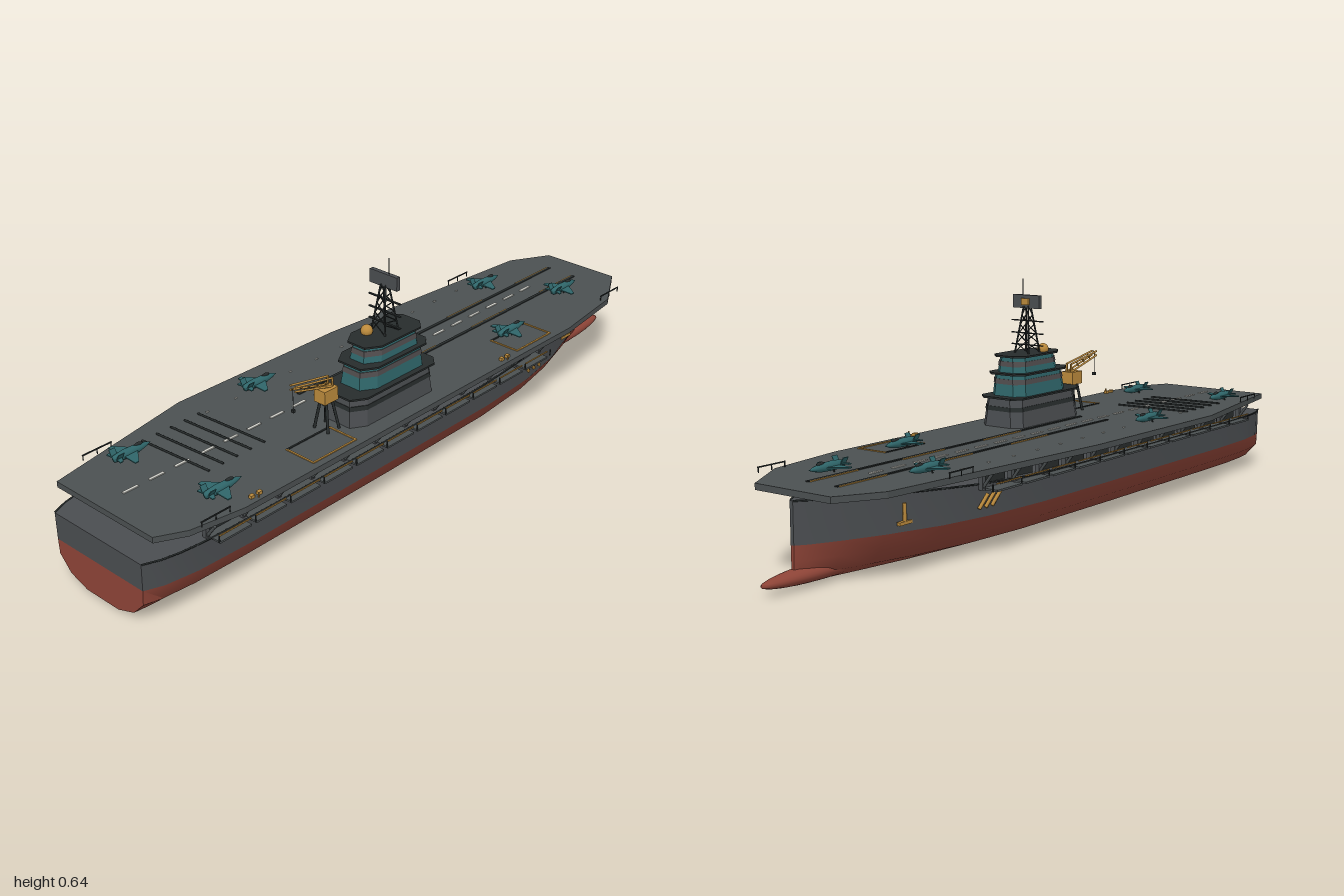
import * as THREE from 'three';
import { toCreasedNormals } from 'three/addons/utils/BufferGeometryUtils.js';

const V = (x, y, z) => new THREE.Vector3(x, y, z);

function mat(name, color) {
  const m = new THREE.MeshStandardMaterial({ color });
  m.name = name;
  return m;
}

// Skin a series of closed rings and cap both ends
function loft(rings, crease = 0.6) {
  const n = rings[0].length, pos = [], idx = [];
  rings.forEach((r) => r.forEach((p) => pos.push(p.x, p.y, p.z)));
  for (let i = 0; i < rings.length - 1; i++) {
    for (let j = 0; j < n; j++) {
      const a = i * n + j, b = i * n + ((j + 1) % n);
      idx.push(a, b, b + n, a, b + n, a + n);
    }
  }
  const last = (rings.length - 1) * n;
  for (let j = 1; j < n - 1; j++) {
    idx.push(0, j + 1, j, last, last + j, last + j + 1);
  }
  const g = new THREE.BufferGeometry();
  g.setAttribute('position', new THREE.Float32BufferAttribute(pos, 3));
  g.setIndex(idx);
  return toCreasedNormals(g, crease);
}

export function createModel() {
  const ship = new THREE.Group();
  ship.name = 'aircraftCarrier';
  const deckGrey = mat('deckGrey', 0x4b5051);
  const hullGrey = mat('hullGrey', 0x4a4d50);
  const red = mat('hullRed', 0x8e4437);
  const teal = mat('teal', 0x2f666a);
  const gold = mat('gold', 0xbb8a3c);
  const dark = mat('darkMetal', 0x272c2c);
  const glass = mat('windowBand', 0x504c4d);
  const white = mat('markingWhite', 0xcfcfc8);

  const add = (name, geo, m, parent = ship) => {
    const mesh = new THREE.Mesh(geo, m);
    mesh.name = name;
    parent.add(mesh);
    return mesh;
  };
  const box = (name, w, h, d, x, y, z, m, parent) => {
    const b = add(name, new THREE.BoxGeometry(w, h, d), m, parent);
    b.position.set(x, y, z);
    return b;
  };
  const rod = (name, a, b, r, m, parent) => {
    const c = add(name, new THREE.CylinderGeometry(r, r, a.distanceTo(b), 6), m, parent);
    c.position.copy(a).lerp(b, 0.5);
    c.quaternion.setFromUnitVectors(V(0, 1, 0), b.clone().sub(a).normalize());
    return c;
  };

  // Hull stations: z, side width factor, keel width factor, sheer height, keel height
  const cx = 0.018, waterline = 0.105;
  const stations = [
    [1, 0.8, 1, 0.178, 0.004], [0.95, 0.9, 1, 0.178, 0.002], [0.86, 0.97, 1, 0.178, 0],
    [0.7, 1, 1, 0.178, 0], [0.2, 1, 1, 0.178, 0], [-0.2, 0.99, 0.95, 0.181, 0],
    [-0.4, 0.92, 0.8, 0.188, 0], [-0.55, 0.78, 0.6, 0.195, 0.002], [-0.7, 0.53, 0.37, 0.201, 0.006],
    [-0.8, 0.31, 0.2, 0.205, 0.009], [-0.87, 0.13, 0.08, 0.208, 0.01], [-0.9, 0.025, 0.03, 0.209, 0.012],
  ];
  const profile = [[0.196, 0.105], [0.178, 0.063], [0.125, 0.022], [0.058, 0.001]];
  const lower = stations.map(([z, s, k, , keel]) => {
    const half = profile.map(([h, y], i) => [h * (s + (k - s) * i / 3), keel + y * (1 - keel / waterline)]);
    return [...half.map(([h, y]) => V(cx + h, y, z)), ...half.reverse().map(([h, y]) => V(cx - h, y, z))];
  });
  const upper = stations.map(([z, s, , top]) => [
    V(cx + 0.198 * s, top, z), V(cx + 0.196 * s, waterline, z),
    V(cx - 0.196 * s, waterline, z), V(cx - 0.198 * s, top, z)]);
  add('lowerHull', loft(lower, 0.7), red);
  add('upperHull', loft(upper, 0.7), hullGrey);
  const bulb = add('bowBulb', new THREE.SphereGeometry(1, 24, 14), red);
  bulb.scale.set(0.032, 0.022, 0.22);
  bulb.position.set(cx, 0.03, -0.78);

  // Thin gunwale along both hull edges
  for (const i of [0, 3]) {
    const path = new THREE.CatmullRomCurve3(upper.map((r) => r[i]));
    add('gunwale', new THREE.TubeGeometry(path, 40, 0.0025, 5), dark);
  }

  // Flight deck
  const outline = [[-0.11, -0.905], [0.13, -0.905], [0.215, -0.76], [0.245, -0.525], [0.245, 0.74],
    [0.22, 0.89], [0.18, 0.965], [-0.17, 0.965], [-0.25, 0.515], [-0.24, -0.05], [-0.175, -0.79]];
  const deckShape = new THREE.Shape(outline.map(([x, z]) => new THREE.Vector2(x, -z)));
  const deckGeo = new THREE.ExtrudeGeometry(deckShape, { depth: 0.016, bevelEnabled: false });
  deckGeo.rotateX(-Math.PI / 2);
  add('flightDeck', deckGeo, deckGrey).position.y = 0.22;
  const top = 0.236;
  const mark = (name, w, d, x, z, m) => box(name, w, 0.003, d, x, top + 0.001, z, m);

  // Deck markings: centre dashes, catapult tracks, arrestor wires, lift outlines
  for (let z = -0.65; z < 0.93; z += 0.08) mark('centreDash', 0.008, 0.045, -0.012, z, white);
  for (let z = -0.5; z < 0.55; z += 0.1) mark('edgeDot', 0.004, 0.008, -0.155, z, white);
  for (const x of [-0.05, 0.042]) {
    mark('catapultTrack', 0.009, 1.1, x, -0.275, dark);
    for (const z of [-0.74, -0.42, -0.1]) mark('catapultEdge', 0.003, 0.16, x - 0.006, z, gold);
  }
  for (let i = 0; i < 5; i++) {
    const z = 0.515 + i * 0.046;
    rod('arrestorWire', V(-0.165, top + 0.002, z + 0.008), V(0.065, top + 0.002, z - 0.008), 0.003, dark);
  }
  for (const z of [-0.385, 0.42]) {
    for (const s of [-1, 1]) {
      mark('liftEdge', 0.095, 0.005, 0.177, z + s * 0.075, gold);
      mark('liftSide', 0.005, 0.15, 0.177 + s * 0.046, z, s > 0 ? gold : dark);
    }
  }

  // Gallery bays, posts, struts and walkways below the deck
  for (const s of [-1, 1]) {
    const at = (d) => cx + s * d;
    for (let i = 0; i < 12; i++) {
      const z = 0.77 - i * 0.115;
      if (i < 11) {
        box('galleryBay', 0.012, 0.035, 0.085, at(0.168), 0.197, z, dark);
        box('walkway', 0.06, 0.005, 0.1, at(0.193), 0.176, z, deckGrey);
        box('walkwayRail', 0.003, 0.003, 0.1, at(0.221), 0.194, z, gold);
      }
      rod('railPost', V(at(0.221), 0.176, z + 0.05), V(at(0.221), 0.195, z + 0.05), 0.002, dark);
      box('deckPost', 0.012, 0.045, 0.012, at(0.183), 0.198, z + 0.056, hullGrey);
      rod('deckStrut', V(at(0.215), 0.22, z + 0.056), V(at(0.183), 0.178, z + 0.056), 0.004, deckGrey);
    }
    // Boarding stripes and bow anchor
    for (let i = 0; i < 3; i++) {
      const z = -0.375 - i * 0.025;
      rod('sideStripe', V(at(0.19), 0.165, z), V(at(0.182), 0.13, z - 0.025), 0.005, gold);
    }
    rod('anchorShank', V(at(0.123), 0.175, -0.655), V(at(0.123), 0.125, -0.655), 0.005, gold);
    box('anchorFlukes', 0.01, 0.008, 0.045, at(0.123), 0.128, -0.655, gold);
  }
  for (const z of [-0.25, 0.69]) {
    for (const d of [-0.012, 0.012]) box('deckLocker', 0.01, 0.008, 0.012, 0.225, top + 0.004, z + d, gold);
    rod('deckEdgePost', V(0.236, top, z), V(0.236, top + 0.013, z), 0.002, gold);
  }
  for (const [x, z] of [[-0.2, -0.56], [0.232, 0.82], [-0.2, 0.82], [0.205, -0.78]]) {
    box('edgeRail', 0.003, 0.003, 0.09, x, top + 0.014, z, dark);
    for (const d of [-0.043, 0, 0.043]) rod('edgeRailPost', V(x, top, z + d), V(x, top + 0.014, z + d), 0.0015, dark);
  }

  // Island tower
  const island = new THREE.Group();
  island.name = 'island';
  ship.add(island);
  const ring = (x0, x1, z0, z1, y, c = 0.025) => [
    V(x0 + c, y, z1), V(x1 - c, y, z1), V(x1, y, z1 - c * 1.6), V(x1, y, z0 + c),
    V(x1 - c, y, z0), V(x0 + c, y, z0), V(x0, y, z0 + c), V(x0, y, z1 - c * 1.6)];
  const tier = (name, a, b, y0, y1, m) => add(name, loft([ring(...a, y0), ring(...b, y1)], 0.2), m, island);
  const tiers = [
    ['islandBase', [0.06, 0.198, 0, 0.315], [0.07, 0.19, 0.008, 0.305], top, 0.316, hullGrey],
    ['bridgeLower', [0.07, 0.186, 0.025, 0.265], [0.077, 0.18, 0.03, 0.255], 0.316, 0.38, teal],
    ['bridgeUpper', [0.079, 0.178, 0.037, 0.24], [0.086, 0.171, 0.042, 0.23], 0.38, 0.428, teal],
  ];
  tiers.forEach(([name, a, b, y0, y1, m], t) => {
    tier(name, a, b, y0, y1, m);
    // Window bands hugging each sloping tier
    const bands = [[[0.28, 0.292]], [[0.352, 0.366]], [[0.4, 0.414]]][t];
    for (const [w0, w1] of bands) {
      const side = (y) => a.map((v, k) => v + (b[k] - v) * (y - y0) / (y1 - y0) + (k % 2 ? 0.0015 : -0.0015));
      tier('windowBand', side(w0), side(w1), w0, w1, t ? glass : dark);
    }
    const o = 0.012;
    const lip = [b[0] - o, b[1] + o, b[2] - o, b[3] + o];
    tier('tierLedge', lip, lip, y1 - 0.002, y1 + 0.003, dark);
  });
  const radome = add('radome', new THREE.SphereGeometry(0.016, 20, 14), gold, island);
  radome.position.set(0.104, 0.438, 0.175);

  // Lattice mast
  const mx = 0.127, mz = 0.132;
  const leg = (sx, sz, y) => {
    const k = (y - 0.43) / 0.13;
    return V(mx + sx * (0.024 - 0.016 * k), y, mz + sz * (0.026 - 0.02 * k));
  };
  const corners = [[-1, -1], [1, -1], [1, 1], [-1, 1]];
  corners.forEach((c, i) => {
    const n = corners[(i + 1) % 4];
    rod('mastLeg', leg(...c, 0.43), leg(...c, 0.56), 0.0025, dark, island);
    for (let y = 0.432; y < 0.55; y += 0.026) rod('mastBrace', leg(...c, y), leg(...n, y + 0.026), 0.0016, dark, island);
  });
  for (const y of [0.452, 0.485, 0.52]) box('mastYard', 0.108, 0.003, 0.006, mx, y, mz, dark, island);
  box('radarPanel', 0.092, 0.037, 0.012, mx, 0.574, mz, hullGrey, island);
  box('radarFeed', 0.025, 0.018, 0.008, mx, 0.574, mz - 0.009, gold, island);
  rod('whipAntenna', V(0.142, 0.55, mz), V(0.142, 0.637, mz), 0.0012, dark, island);

  // Deck crane
  const crane = new THREE.Group();
  crane.name = 'crane';
  ship.add(crane);
  for (const [sx, sz] of corners) {
    rod('craneLeg', V(mx + sx * 0.024, top, 0.35 + sz * 0.02), V(mx + sx * 0.01, 0.318, 0.35 + sz * 0.01), 0.004, dark, crane);
  }
  box('craneCab', 0.038, 0.037, 0.048, mx, 0.334, 0.35, gold, crane);
  for (const s of [-1, 1]) {
    const x = mx + s * 0.008;
    rod('boomLower', V(x, 0.352, 0.335), V(x, 0.388, 0.465), 0.003, gold, crane);
    rod('boomUpper', V(x, 0.375, 0.335), V(x, 0.4, 0.465), 0.003, gold, crane);
    rod('boomPost', V(x, 0.35, 0.335), V(x, 0.376, 0.335), 0.003, gold, crane);
  }
  for (let i = 0; i < 5; i++) {
    const z = 0.345 + i * 0.029, y = 0.355 + i * 0.008;
    rod('boomTie', V(mx - 0.008, y, z), V(mx + 0.008, y + 0.012, z + 0.01), 0.002, gold, crane);
  }
  rod('craneCable', V(mx, 0.39, 0.465), V(mx, 0.335, 0.465), 0.0008, dark, crane);
  box('craneHook', 0.008, 0.008, 0.008, mx, 0.332, 0.465, dark, crane);

  // Parked jets, noses toward the bow
  const flat = (pts, h) => {
    const g = new THREE.ExtrudeGeometry(new THREE.Shape(pts.map(([x, z]) => new THREE.Vector2(x, -z))), { depth: h, bevelEnabled: false });
    return g.rotateX(-Math.PI / 2);
  };
  const wing = flat([[0, -0.02], [0.052, 0.018], [0.052, 0.03], [0, 0.028], [-0.052, 0.03], [-0.052, 0.018]], 0.003);
  const tail = flat([[0, 0.03], [0.027, 0.046], [0.027, 0.055], [0, 0.052], [-0.027, 0.055], [-0.027, 0.046]], 0.003);
  const body = new THREE.LatheGeometry([[0, -0.056], [0.009, -0.053], [0.0125, -0.02], [0.011, 0.02], [0.006, 0.045], [0, 0.062]]
    .map(([r, y]) => new THREE.Vector2(r, y)), 12).rotateX(-Math.PI / 2);
  const spots = [[0.08, -0.72], [-0.115, -0.59], [0.14, -0.39], [-0.16, 0.31], [-0.13, 0.77], [0.155, 0.73]];
  for (const [x, z] of spots) {
    const jet = new THREE.Group();
    jet.name = 'jet';
    jet.position.set(x, 0.25, z);
    ship.add(jet);
    add('jetBody', body, teal, jet);
    add('jetWings', wing, teal, jet).position.y = -0.002;
    add('jetTailplane', tail, teal, jet);
    const canopy = add('jetCanopy', new THREE.SphereGeometry(1, 10, 8), dark, jet);
    canopy.scale.set(0.005, 0.006, 0.014);
    canopy.position.set(0, 0.009, -0.022);
    for (const s of [-1, 1]) {
      const fin = box('jetFin', 0.002, 0.02, 0.018, s * 0.014, 0.009, 0.044, teal, jet);
      fin.rotation.z = -s * 0.5;
      rod('jetWheel', V(s * 0.012, -0.014, 0.012), V(s * 0.008, -0.004, 0.012), 0.002, dark, jet);
    }
  }
  return ship;
}
